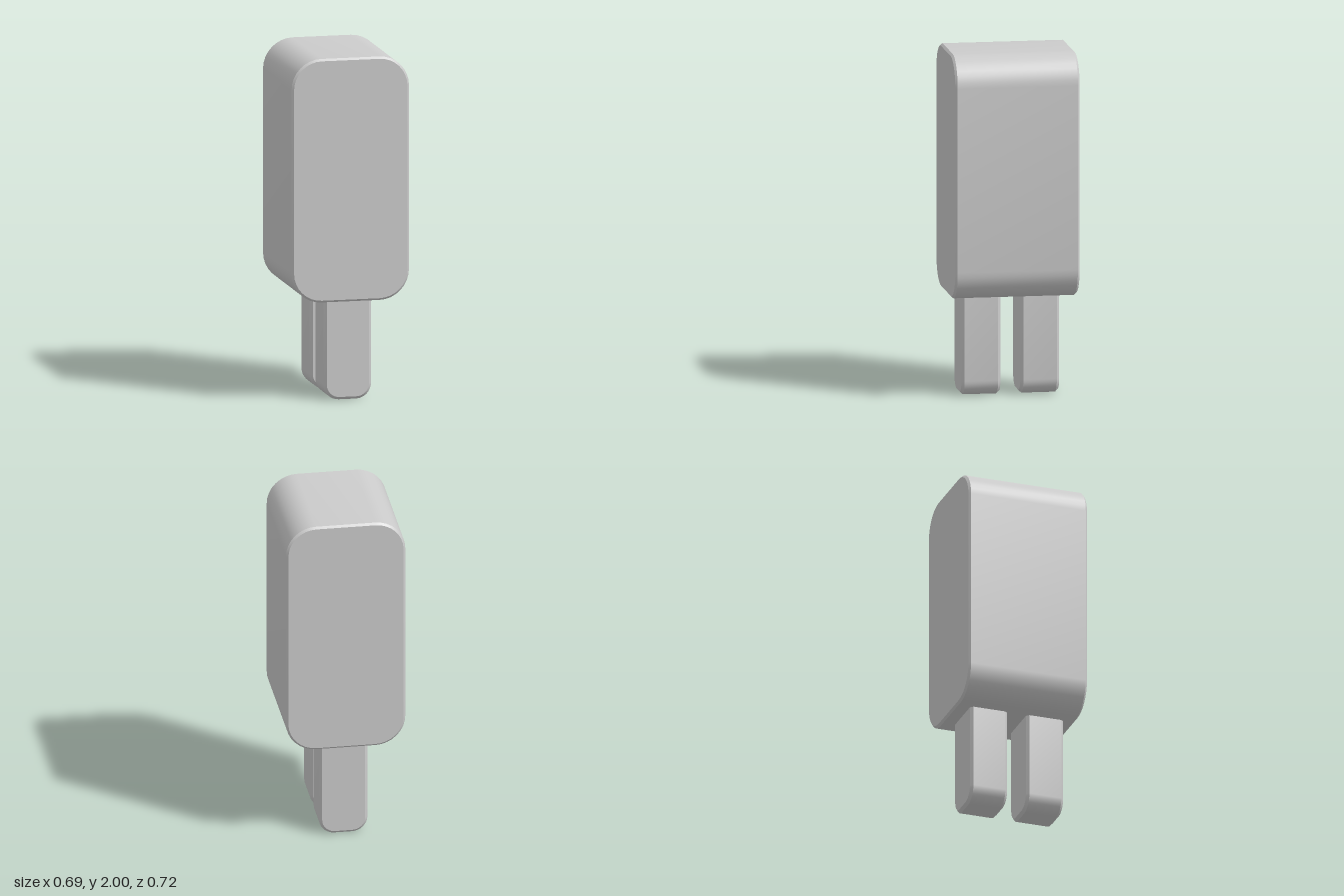
import * as THREE from 'three';
import { toCreasedNormals } from 'three/addons/utils/BufferGeometryUtils.js';

const material = new THREE.MeshStandardMaterial({ color: 0xcccccc });

// Rounded block: outline in x/y with rounded corners, thin chamfer on front and back
function roundedBlock(name, halfWidth, y0, y1, z0, z1, radius, bevel) {
  const w = halfWidth - bevel, b = y0 + bevel, t = y1 - bevel, r = radius - bevel;
  const shape = new THREE.Shape();
  shape.moveTo(w, b + r);
  shape.lineTo(w, t - r);
  shape.absarc(w - r, t - r, r, 0, Math.PI / 2);
  shape.absarc(-w + r, t - r, r, Math.PI / 2, Math.PI);
  shape.absarc(-w + r, b + r, r, Math.PI, Math.PI * 1.5);
  shape.absarc(w - r, b + r, r, Math.PI * 1.5, Math.PI * 2);

  const geometry = new THREE.ExtrudeGeometry(shape, {
    depth: z1 - z0 - 2 * bevel,
    curveSegments: 4,
    bevelEnabled: true,
    bevelSize: bevel,
    bevelThickness: bevel,
    bevelSegments: 1,
  });
  geometry.translate(0, 0, z0 + bevel);
  const mesh = new THREE.Mesh(toCreasedNormals(geometry, 0.6), material);
  mesh.name = name;
  return mesh;
}

export function createModel() {
  const group = new THREE.Group();
  group.name = 'twoLeggedBlock';

  // Main block
  group.add(roundedBlock('body', 0.345, 0.585, 2, -0.36, 0.36, 0.175, 0.012));

  // Two legs, running up into the block
  const legDepth = 0.226;
  for (const [name, z] of [['frontLeg', 0.064], ['backLeg', -0.276]]) {
    group.add(roundedBlock(name, 0.14, 0.004, 0.8, z, z + legDepth, 0.09, 0.016));
  }
  return group;
}
